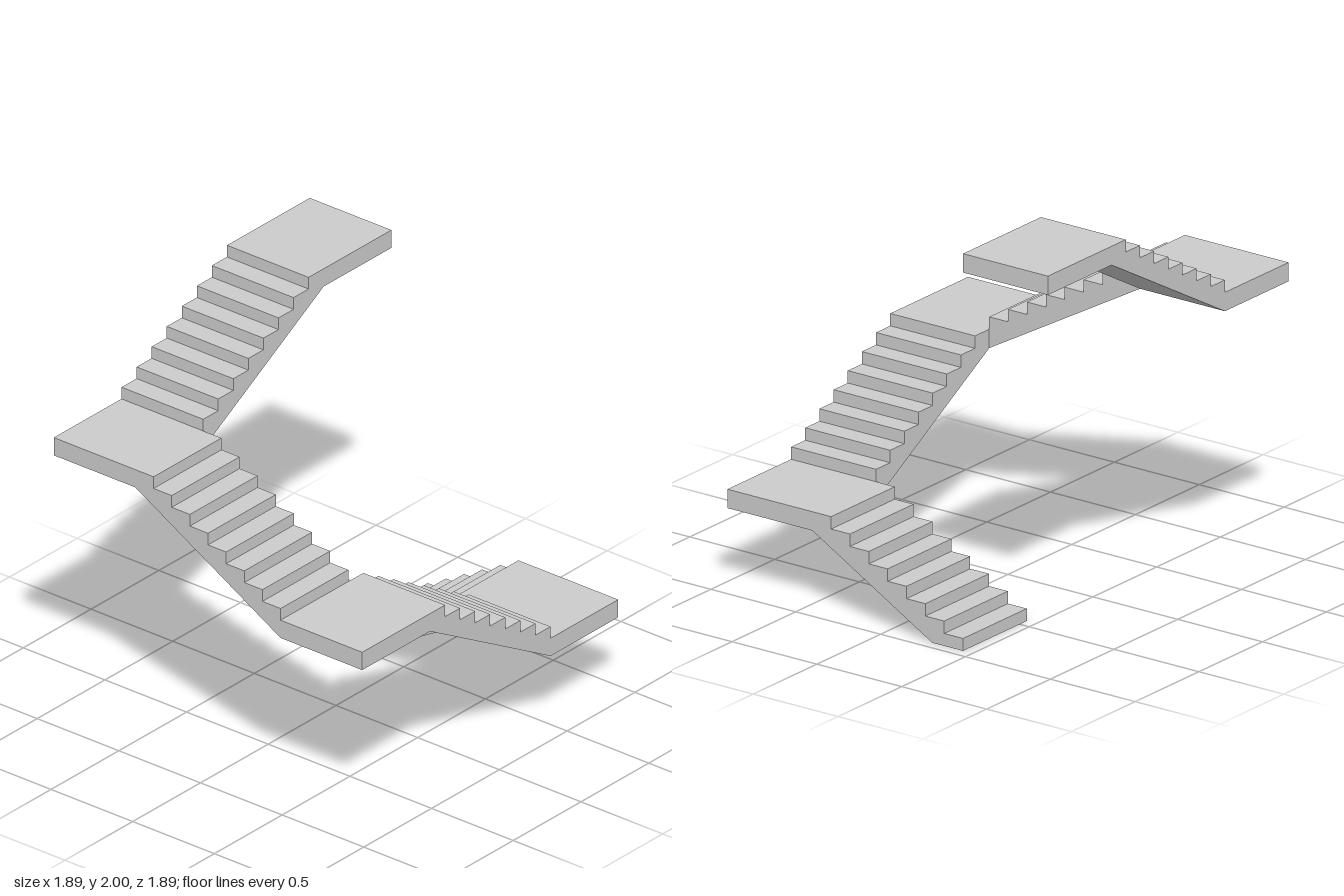
import * as THREE from 'three';

const INNER = 0.4444;   // half width of the open well
const WIDTH = 0.5;      // width of flights and landings
const OUTER = INNER + WIDTH;
const STEPS = 8;
const RISE = 0.5;       // height gained per flight
const THICK = 0.095;    // slab thickness

const material = new THREE.MeshStandardMaterial({ color: 0xcccccc, flatShading: true });

// Sawtooth side profile swept across the flight; it climbs toward +z on the +x side
function flightGeometry(onGround) {
  const tread = (2 * INNER) / STEPS, riser = RISE / STEPS;
  const shape = new THREE.Shape();
  shape.moveTo(-INNER, onGround ? 0 : -THICK);
  if (onGround) shape.lineTo(-0.262, 0); // soffit cut off level with the floor
  shape.lineTo(INNER, RISE - THICK);
  shape.lineTo(INNER, RISE);
  for (let i = STEPS; i > 0; i--) {
    shape.lineTo(-INNER + (i - 1) * tread, i * riser);
    if (i > 1) shape.lineTo(-INNER + (i - 1) * tread, (i - 1) * riser);
  }
  return new THREE.ExtrudeGeometry(shape, { depth: WIDTH, bevelEnabled: false })
    .rotateY(-Math.PI / 2)
    .translate(OUTER, 0, 0);
}

export function createModel() {
  const model = new THREE.Group();
  model.name = 'squareStaircase';

  // Four flights, each a quarter turn further and one rise higher
  for (let i = 0; i < 4; i++) {
    const section = new THREE.Group();
    section.name = `stairSection${i + 1}`;

    const flight = new THREE.Mesh(flightGeometry(i === 0), material);
    flight.name = 'flight';

    const landing = new THREE.Mesh(new THREE.BoxGeometry(WIDTH, THICK, WIDTH), material);
    landing.name = 'landing';
    landing.position.set(INNER + WIDTH / 2, RISE - THICK / 2, INNER + WIDTH / 2);

    section.add(flight, landing);
    section.rotation.y = -i * Math.PI / 2;
    section.position.y = i * RISE;
    model.add(section);
  }
  return model;
}
